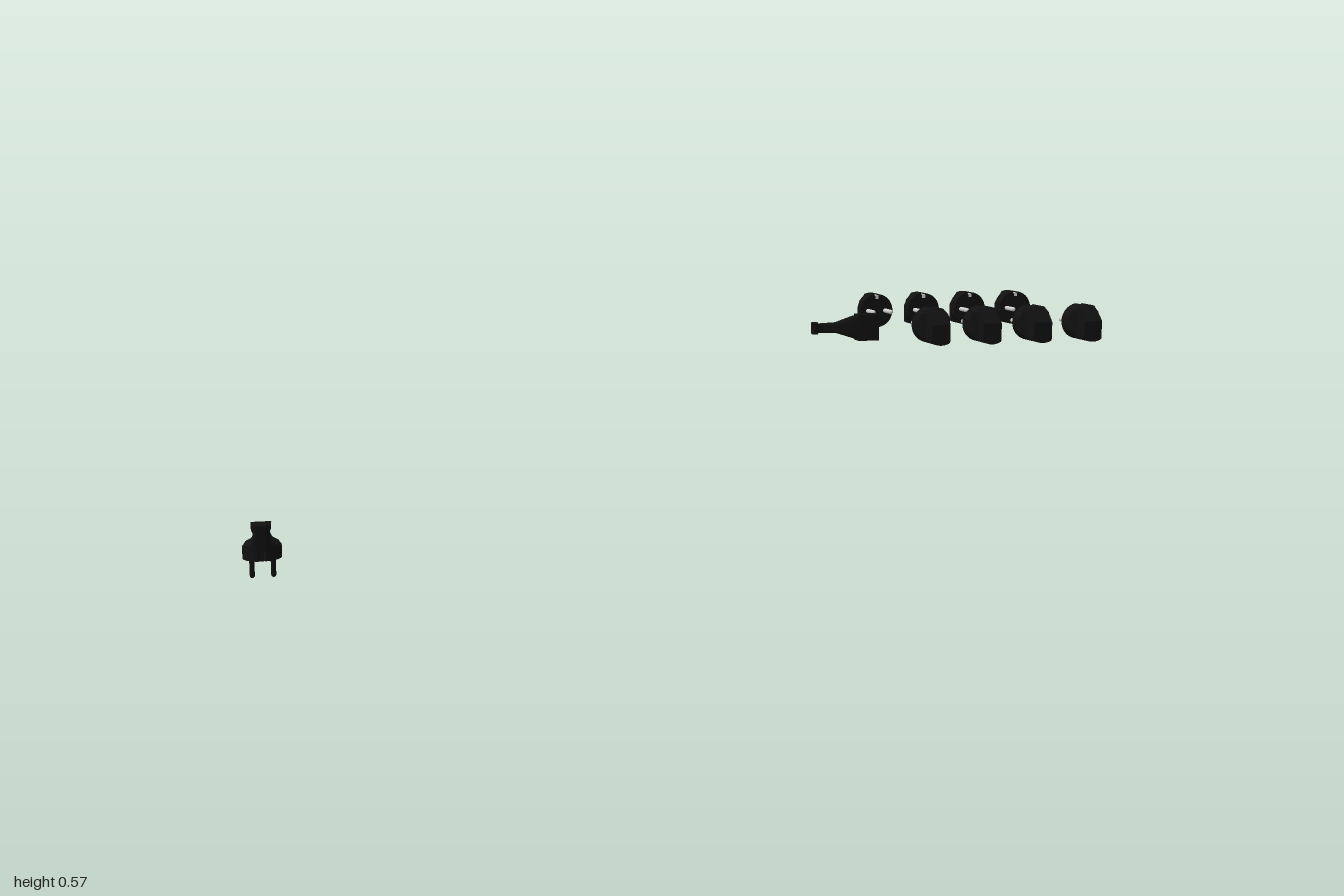
import * as THREE from 'three';
import { toCreasedNormals } from 'three/addons/utils/BufferGeometryUtils.js';

const black = new THREE.MeshStandardMaterial({ color: 0x111111 });
const metal = new THREE.MeshStandardMaterial({ color: 0xcccccc });
const copper = new THREE.MeshStandardMaterial({ color: 0xb0622a });

const clamp = THREE.MathUtils.clamp;

function add(parent, name, geometry, material, x = 0, y = 0, z = 0) {
  const mesh = new THREE.Mesh(geometry, material);
  mesh.name = name;
  mesh.position.set(x, y, z);
  parent.add(mesh);
  return mesh;
}

// Closed skin over rings of [x, y] points stacked along z, capped at both ends
function loft(levels) {
  const n = levels[0].ring.length;
  const positions = [];
  const index = [];
  for (const { z, ring } of levels) for (const [x, y] of ring) positions.push(x, y, z);
  for (let i = 0; i < levels.length - 1; i++) {
    for (let j = 0; j < n; j++) {
      const a = i * n + j, b = i * n + (j + 1) % n;
      index.push(a, b, b + n, a, b + n, a + n);
    }
  }
  for (const [k, flip] of [[0, true], [levels.length - 1, false]]) {
    const { z, ring } = levels[k];
    const ys = ring.map((p) => p[1]);
    const c = positions.length / 3;
    positions.push(0, (Math.min(...ys) + Math.max(...ys)) / 2, z);
    for (let j = 0; j < n; j++) {
      const a = k * n + j, b = k * n + (j + 1) % n;
      if (flip) index.push(c, b, a);
      else index.push(c, a, b);
    }
  }
  const geometry = new THREE.BufferGeometry();
  geometry.setAttribute('position', new THREE.Float32BufferAttribute(positions, 3));
  geometry.setIndex(index);
  return toCreasedNormals(geometry, 0.5);
}

const R = 0.0425;

// Circle cut flat at the sides and top, optionally notched for the earth clips
function plugRing(halfWidth, top, notched) {
  const ring = [];
  for (let j = 0; j < 64; j++) {
    const t = (j / 64) * Math.PI * 2;
    const x = R * Math.cos(t);
    const limit = notched && Math.abs(x) < 0.007 ? 0.037 : R;
    const y = clamp(R * Math.sin(t), -limit, Math.min(limit, top));
    ring.push([clamp(x, -halfWidth, halfWidth), y]);
  }
  return ring;
}

// Round base, waisted grip and sloping top: [z, half width, top, notched]
const plugBody = loft([
  [0, R, R, true],
  [0.022, R, R, true],
  [0.022, R, R, false],
  [0.027, R, R, false],
  [0.033, 0.036, R, false],
  [0.04, 0.021, R, false],
  [0.05, 0.017, R, false],
  [0.062, 0.018, 0.0274, false],
  [0.07, 0.021, 0.0173, false],
  [0.079, 0.022, 0.006, false],
].map(([z, w, top, notched]) => ({ z, ring: plugRing(w, top, notched) })));

// Pins point to -z, the grip to +z
function makePlug(name, pinMaterial) {
  const plug = new THREE.Group();
  plug.name = name;
  add(plug, 'plugBody', plugBody, black);
  const pin = new THREE.CapsuleGeometry(0.0055, 0.045, 6, 16).rotateX(Math.PI / 2);
  for (const s of [-1, 1]) {
    add(plug, 'pin', pin, pinMaterial, s * 0.023, 0, -0.018);
    add(plug, 'earthClip', new THREE.BoxGeometry(0.008, 0.003, 0.02), pinMaterial, 0, s * 0.038, 0.0105);
    add(plug, 'earthClipFoot', new THREE.BoxGeometry(0.008, 0.008, 0.002), pinMaterial, 0, s * 0.034, 0);
  }
  return plug;
}

function roundedRing(w, h, r) {
  const ring = [];
  for (let q = 0; q < 4; q++) {
    const sx = q === 0 || q === 3 ? 1 : -1, sy = q < 2 ? 1 : -1;
    for (let k = 0; k <= 4; k++) {
      const t = (q + k / 4) * Math.PI / 2;
      ring.push([sx * (w - r) + r * Math.cos(t), sy * (h - r) + r * Math.sin(t)]);
    }
  }
  return ring;
}

function rectangle(Type, x, y, w, h) {
  return new Type([[-1, -1], [1, -1], [1, 1], [-1, 1]]
    .map(([a, b]) => new THREE.Vector2(x + a * w, y + b * h)));
}

// Flat appliance socket: its face looks along +z, the cable end along -z
function makeConnector() {
  const connector = new THREE.Group();
  connector.name = 'cableConnector';
  const W = 0.018, H = 0.032;

  // Cable boot with end flange, flaring into the body: [z, half width, half height]
  add(connector, 'connectorGrip', loft([
    [-0.165, 0.011, 0.015],
    [-0.154, 0.011, 0.015],
    [-0.152, 0.009, 0.011],
    [-0.105, 0.01, 0.013],
    [-0.092, 0.014, 0.017],
    [-0.06, 0.017, 0.027],
    [-0.052, 0.017, 0.028],
    [-0.02, 0.017, 0.028],
  ].map(([z, w, h]) => ({ z, ring: roundedRing(w, h, 0.004) }))), black);

  // Front housing with three slots lined with copper contacts
  const slots = [[-0.007, 0.019], [0.005, 0], [-0.007, -0.019]];
  const face = rectangle(THREE.Shape, 0, 0, W, H);
  face.holes = slots.map(([x, y]) => rectangle(THREE.Path, x, y, 0.0065, 0.003));
  add(connector, 'connectorHousing',
    new THREE.ExtrudeGeometry(face, { depth: 0.052, bevelEnabled: false }), black, 0, 0, -0.052);
  const frame = rectangle(THREE.Shape, 0, 0, 0.0065, 0.003);
  frame.holes = [rectangle(THREE.Path, 0, 0, 0.0052, 0.0018)];
  const contact = new THREE.ExtrudeGeometry(frame, { depth: 0.018, bevelEnabled: false });
  for (const [x, y] of slots) add(connector, 'contact', contact, copper, x, y, -0.0195);
  return connector;
}

export function createModel() {
  const model = new THREE.Group();
  model.name = 'powerPlugs';

  // Two facing rows of four plugs
  for (let i = 0; i < 4; i++) {
    for (const s of [1, -1]) {
      const plug = makePlug(s > 0 ? 'frontRowPlug' : 'backRowPlug', metal);
      plug.position.set(0.5775 + i * 0.1267, 0.5295, s * 0.176);
      if (s < 0) plug.rotation.y = Math.PI;
      model.add(plug);
    }
  }

  // Single black plug standing on its pins
  const standing = makePlug('standingPlug', black);
  standing.rotation.x = -Math.PI / 2;
  standing.position.set(-0.9575, 0.046, 0.14);
  model.add(standing);

  const connector = makeConnector();
  connector.rotation.y = Math.PI / 2;
  connector.position.set(0.525, 0.504, -0.032);
  model.add(connector);
  return model;
}
